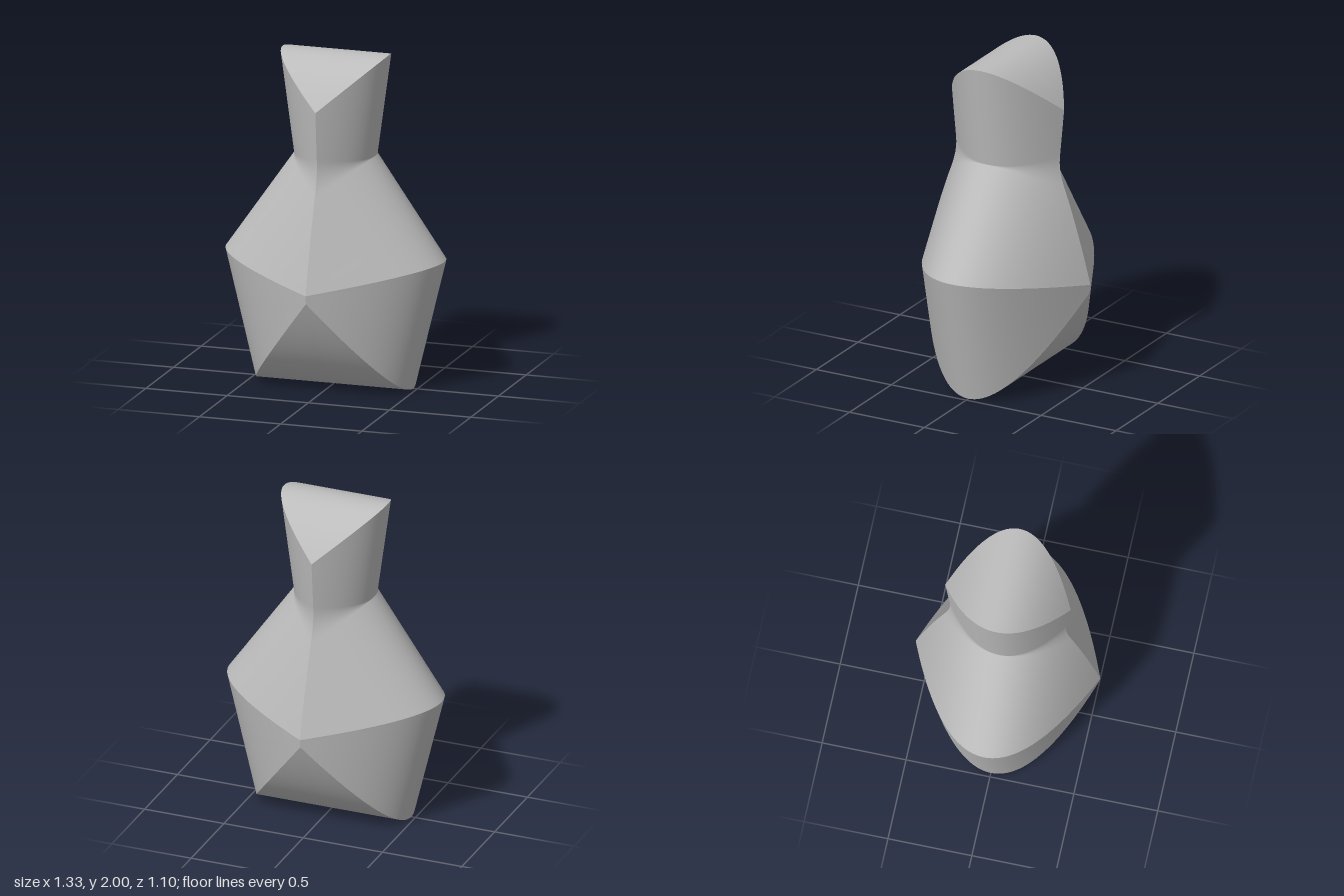
import * as THREE from 'three';

// Half outline (x >= 0), running upward
const B = [0.475, 0], H = [0.667, 0.78], N = [0.243, 1.385], T = [0.328, 2];
const DEPTH = 0.7; // half depth = DEPTH * sqrt(distance to outline)
const ROWS = 20;   // rows from the rim to each ridge

const lerp = (a, b, u) => [a[0] + (b[0] - a[0]) * u, a[1] + (b[1] - a[1]) * u];
const flip = (p) => [-p[0], p[1]];

// Foot of the perpendicular from p to the line a-b
function project(p, a, b) {
  const dx = b[0] - a[0], dy = b[1] - a[1];
  return lerp(a, b, ((p[0] - a[0]) * dx + (p[1] - a[1]) * dy) / (dx * dx + dy * dy));
}

// Distance from the centre line to an edge, as c + m * y
function centreDistance(a, b) {
  const dx = b[0] - a[0], dy = b[1] - a[1], len = Math.hypot(dx, dy);
  return { c: (a[0] * dy - a[1] * dx) / len, m: dx / len };
}
const low = centreDistance(B, H), mid = centreDistance(H, N), neck = centreDistance(N, T);

// Ridge nodes on the centre line, from bottom to top
const S1 = [0, low.c / (1 - low.m)];
const S2 = [0, (mid.c - low.c) / (low.m - mid.m)];
const S3 = [0, N[1] + N[0] * (N[0] - H[0]) / (N[1] - H[1])];
const S4 = [0, N[1] + N[0] * (T[0] - N[0]) / (T[1] - N[1])];
const S5 = [0, (2 - neck.c) / (1 + neck.m)];

// Stations pair a ridge point with its nearest rim point; ease packs them towards a corner
function stations(p, q, foot, n, ease = (v) => v) {
  return Array.from({ length: n + 1 }, (_, i) => {
    const ridge = lerp(p, q, ease(i / n));
    return { ridge, rim: foot(ridge) };
  });
}
const fromCorner = (v) => v * v;
const toCorner = (v) => 1 - (1 - v) * (1 - v);
const onEdge = (a, b) => (p) => project(p, a, b);
const join = (...lists) => lists.flatMap((l, i) => (i ? l.slice(1) : l));
const mirrored = (list) => list.map((s) => ({ ridge: flip(s.ridge), rim: flip(s.rim) })).reverse();

// Curved panel wrapping from the back ridge, around the rim, to the front ridge
function panel(list) {
  const pos = [], index = [], w = 2 * ROWS + 1;
  list.forEach(({ ridge, rim }, i) => {
    const z = DEPTH * Math.sqrt(Math.hypot(ridge[0] - rim[0], ridge[1] - rim[1]));
    for (let j = 0; j < w; j++) {
      const t = j / ROWS - 1;
      const p = lerp(rim, ridge, t * t);
      pos.push(p[0], p[1], z * t);
      if (i < list.length - 1 && j < w - 1) {
        const a = i * w + j, b = a + w;
        index.push(a, b, a + 1, b, b + 1, a + 1);
      }
    }
  });
  const g = new THREE.BufferGeometry();
  g.setAttribute('position', new THREE.Float32BufferAttribute(pos, 3));
  g.setIndex(index);
  g.computeVertexNormals();
  return g;
}

export function createModel() {
  const group = new THREE.Group();
  group.name = 'pillowVase';
  const grey = new THREE.MeshStandardMaterial({ color: 0xbcbcbc });
  grey.name = 'plainGrey';
  const add = (name, list) => {
    const mesh = new THREE.Mesh(panel(list), grey);
    mesh.name = name;
    group.add(mesh);
  };

  const lowEdge = onEdge(B, H), midEdge = onEdge(H, N), neckEdge = onEdge(N, T);
  const lowerSide = join(
    stations(B, S1, lowEdge, 24, fromCorner),
    stations(S1, S2, lowEdge, 4),
    stations(S2, H, lowEdge, 24, toCorner));
  // Shoulder flows round the inner neck corner into the neck
  const upperSide = join(
    stations(H, S2, midEdge, 24, fromCorner),
    stations(S2, S3, midEdge, 16),
    stations(S3, S4, () => N, 10),
    stations(S4, S5, neckEdge, 10),
    stations(S5, T, neckEdge, 20, toCorner));
  add('lowerSideLeft', lowerSide);
  add('lowerSideRight', mirrored(lowerSide));
  add('shoulderAndNeckLeft', upperSide);
  add('shoulderAndNeckRight', mirrored(upperSide));

  // Rounded base and top
  const baseHalf = stations(S1, B, (p) => [p[0], 0], 24, toCorner);
  add('base', join(mirrored(baseHalf), baseHalf));
  const topHalf = stations(T, S5, (p) => [p[0], 2], 20, fromCorner);
  add('top', join(topHalf, mirrored(topHalf)));
  return group;
}
